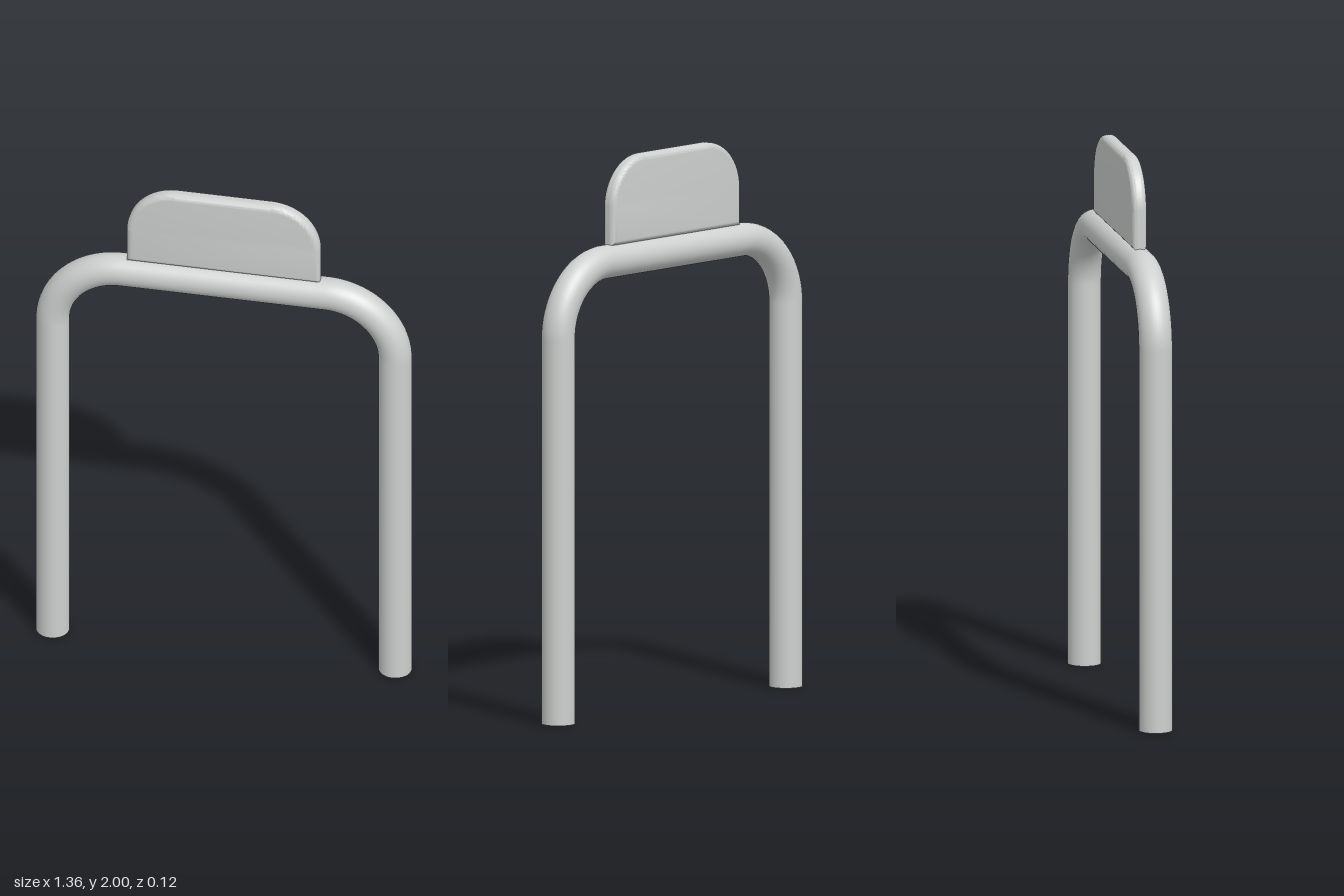
import * as THREE from 'three';
import { toCreasedNormals } from 'three/addons/utils/BufferGeometryUtils.js';

export function createModel() {
  const model = new THREE.Group();
  model.name = 'hoopStand';

  const metal = new THREE.MeshStandardMaterial({ color: 0xcdd0ce, side: THREE.DoubleSide });
  metal.name = 'light grey metal';

  const pipe = 0.06;            // pipe radius
  const bend = 0.25;            // bend radius at the pipe centre
  const legX = 0.62, barY = 1.63;
  const legTop = barY - bend, barEnd = legX - bend;

  function add(name, geometry, x = 0, y = 0) {
    const mesh = new THREE.Mesh(geometry, metal);
    mesh.name = name;
    mesh.position.set(x, y, 0);
    model.add(mesh);
    return mesh;
  }

  // Open-ended legs and quarter-circle bends, mirrored
  for (const side of [1, -1]) {
    const label = side > 0 ? 'left' : 'right';
    add(label + 'Leg', new THREE.CylinderGeometry(pipe, pipe, legTop, 32, 1, true), side * legX, legTop / 2);
    const corner = add(label + 'Bend', new THREE.TorusGeometry(bend, pipe, 32, 24, Math.PI / 2), side * barEnd, legTop);
    if (side < 0) corner.rotation.y = Math.PI;
  }

  // Crossbar between the bends
  const bar = add('crossbar', new THREE.CylinderGeometry(pipe, pipe, barEnd * 2, 32, 1, true), 0, barY);
  bar.rotation.z = Math.PI / 2;

  // Upright plate with rounded top corners and soft edges
  const soft = 0.02, half = 0.027;
  const w = 0.35 - soft, bottom = 1.685 + soft, top = 2 - soft, r = 0.16;
  const outline = new THREE.Shape();
  outline.moveTo(-w, bottom);
  outline.lineTo(w, bottom);
  outline.lineTo(w, top - r);
  outline.absarc(w - r, top - r, r, 0, Math.PI / 2, false);
  outline.lineTo(-w + r, top);
  outline.absarc(-w + r, top - r, r, Math.PI / 2, Math.PI, false);
  outline.closePath();
  const depth = 2 * (half - soft);
  const plate = new THREE.ExtrudeGeometry(outline, {
    depth, bevelEnabled: true, bevelSize: soft, bevelThickness: soft, bevelSegments: 6, curveSegments: 16,
  });
  plate.translate(0, 0, -depth / 2);
  add('plate', toCreasedNormals(plate, 0.6));

  return model;
}
